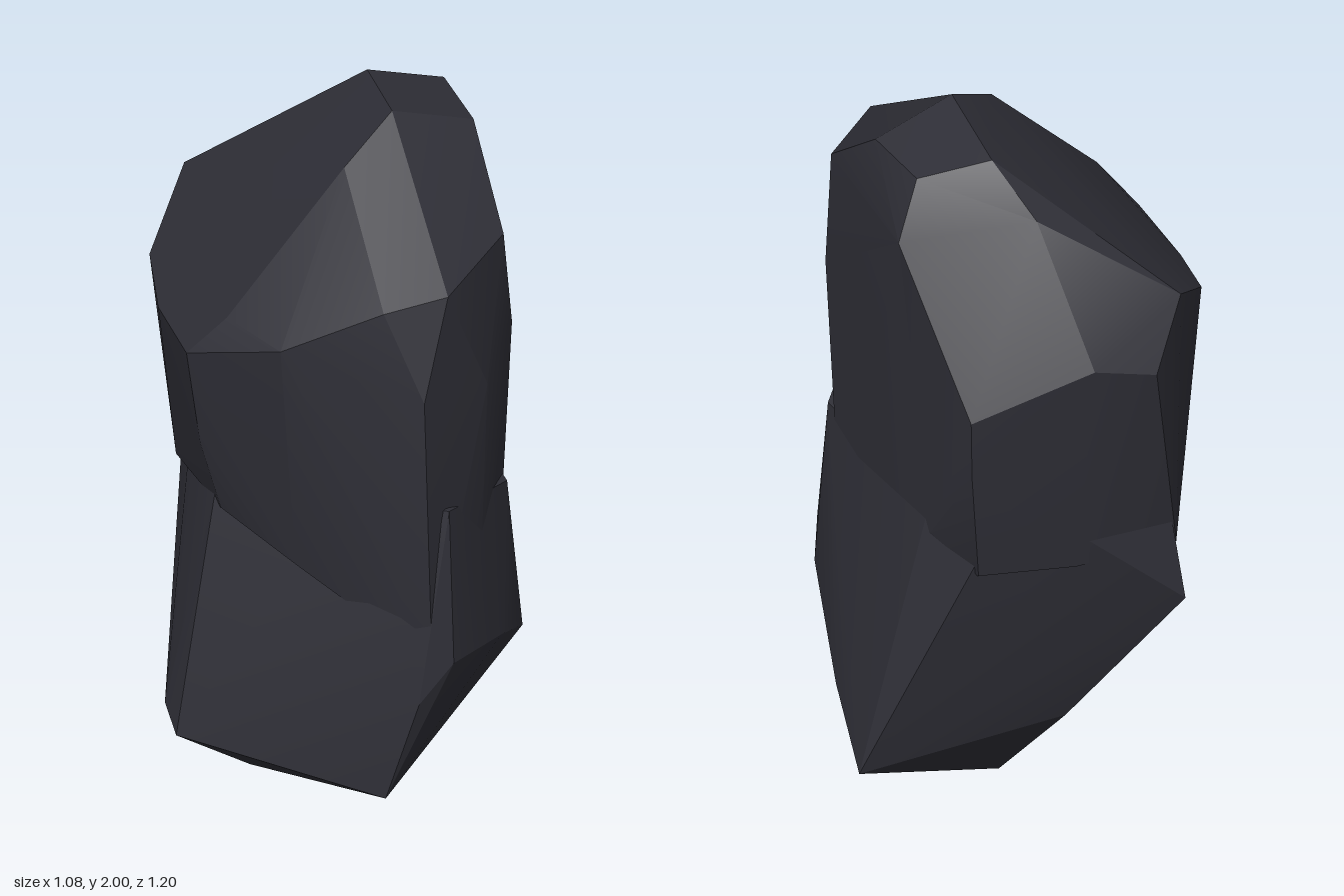
import * as THREE from 'three';
import { ConvexGeometry } from 'three/addons/geometries/ConvexGeometry.js';
import { toCreasedNormals } from 'three/addons/utils/BufferGeometryUtils.js';

// Corner points of the upper block: crown, sloping shoulder, wall, waist
const crown = [
  [0.1, 2, 0.07], [0.17, 1.96, -0.2], [0.35, 1.93, -0.12], [0.32, 1.93, 0.1], [-0.07, 1.91, 0.13],
];
const shoulder = [
  [-0.15, 1.69, 0.5], [0.02, 1.71, 0.53], [0.27, 1.74, 0.36], [0.43, 1.78, -0.15],
  [0.39, 1.35, -0.41], [0.1, 1.47, -0.55], [0.13, 1.83, -0.34], [-0.06, 1.43, -0.6],
  [-0.18, 1.6, -0.54], [-0.37, 1.47, -0.37], [-0.45, 1.44, -0.17], [-0.5, 1.45, 0.08],
  [-0.42, 1.57, 0.15], [-0.37, 1.56, 0.35],
];
const waist = [
  [-0.08, 1.45, 0.59], [0.15, 1.4, 0.5], [0.31, 1.45, 0.33], [0.38, 1.18, -0.4],
  [-0.46, 1.17, 0.08], [-0.4, 0.96, 0.08], [-0.3, 0.88, 0.3], [-0.05, 0.66, 0.575],
  [0.14, 0.66, 0.47], [0.28, 0.6, 0.3], [0.38, 0.93, -0.22], [0.33, 0.85, -0.36],
  [0.1, 0.85, -0.47], [-0.18, 0.85, -0.52], [-0.33, 0.9, -0.3],
];

// Corner points of the lower block: tip, flared corners, top buried in the upper block
const tip = [[0.03, 0, 0], [0.17, 0.05, -0.03], [0.06, 0.04, -0.08], [-0.3, 0.15, 0.05]];
const flare = [
  [-0.15, 0.25, 0.51], [0.54, 0.22, -0.13], [0.52, 0.3, -0.15], [0.46, 0.36, 0.08],
  [-0.54, 0.33, 0.1], [-0.52, 0.37, 0], [0.04, 0.32, -0.34], [-0.18, 0.7, -0.56],
  [-0.09, 0.55, 0.58], [0, 0.66, 0.6], [0.19, 0.64, 0.5], [0.27, 0.63, 0.42], [0.33, 0.55, 0.35],
];
const neck = [
  [-0.4, 1, 0.05], [-0.25, 0.92, 0.3], [-0.12, 0.87, 0.5], [0, 1.1, 0.575], [0.28, 1, 0.36],
  [0.37, 1, -0.2], [0.33, 0.9, -0.36], [0.1, 0.95, -0.48], [-0.15, 1.05, -0.51], [-0.3, 0.95, -0.28],
];

export function createModel() {
  const stone = new THREE.MeshStandardMaterial({ color: 0x2f2f37 });
  stone.name = 'dark stone';
  const rock = new THREE.Group();
  rock.name = 'rock';

  // Faceted block through its corners, softened only across shallow edges
  const addBlock = (name, points) => {
    const hull = new ConvexGeometry(points.map((p) => new THREE.Vector3(...p)));
    const mesh = new THREE.Mesh(toCreasedNormals(hull, 0.35), stone);
    mesh.name = name;
    rock.add(mesh);
  };
  addBlock('upperBlock', [...crown, ...shoulder, ...waist]);
  addBlock('lowerBlock', [...tip, ...flare, ...neck]);
  return rock;
}
